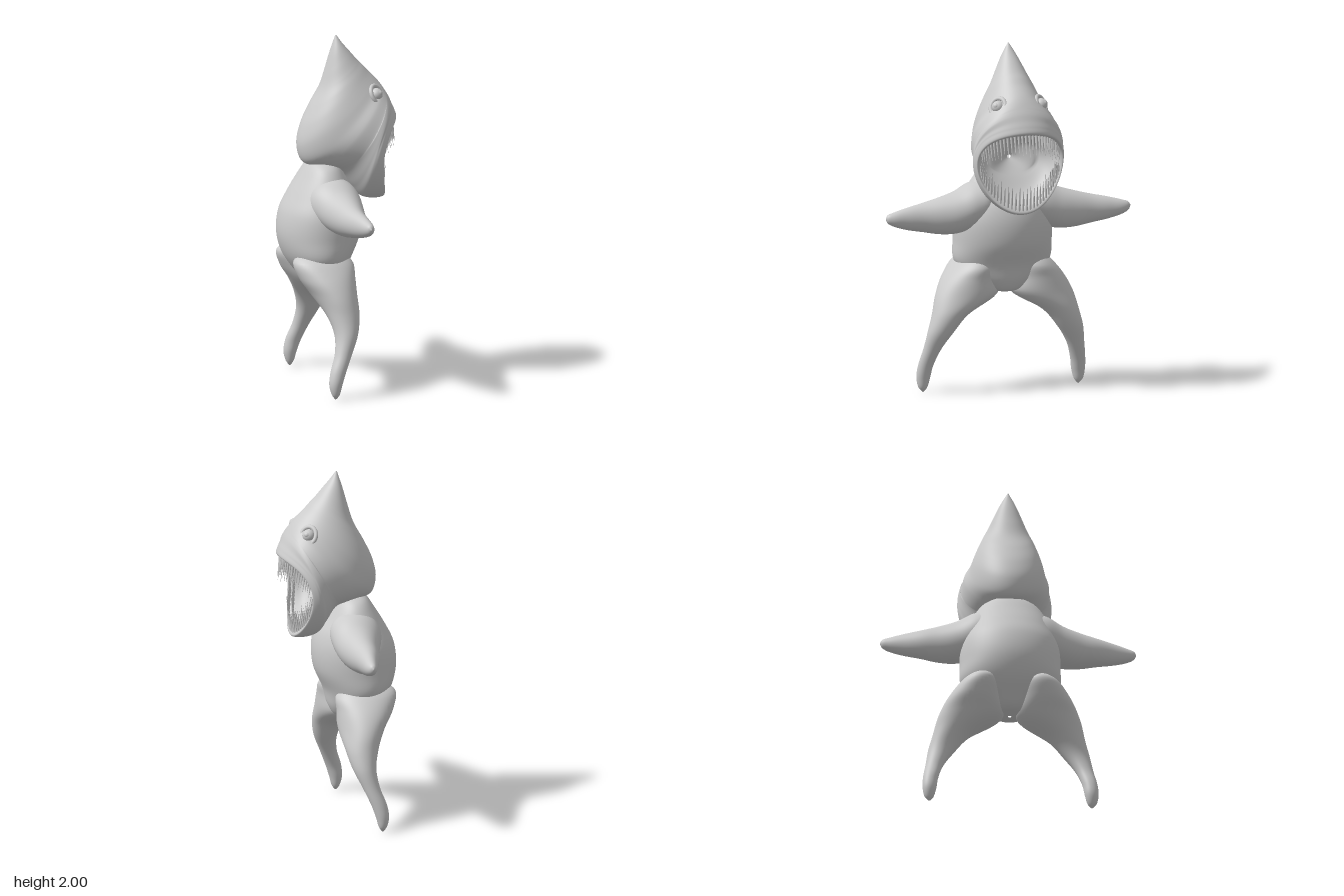
import * as THREE from 'three';

const material = new THREE.MeshStandardMaterial({ color: 0xcccccc });

// Smooth section surface. Each row: [ax, ay, bx, by, halfWidth, zCentre, dx, dy]
// a and b are opposite edge points of an oval ring; (dx, dy) shifts its widest points.
function sections(rows) {
  const curve = pick => new THREE.CatmullRomCurve3(rows.map(r => new THREE.Vector3(...pick(r))));
  const a = curve(r => [r[0], r[1], r[4]]);
  const b = curve(r => [r[2], r[3], r[5] || 0]);
  const d = curve(r => [r[6] || 0, r[7] || 0, 0]);
  return (t, angle) => {
    const p = a.getPoint(t), q = b.getPoint(t), s = d.getPoint(t);
    const c = Math.cos(angle), n = Math.sin(angle);
    return new THREE.Vector3(
      (p.x + q.x) / 2 + (p.x - q.x) / 2 * c + s.x * n * n,
      (p.y + q.y) / 2 + (p.y - q.y) / 2 * c + s.y * n * n,
      q.z + Math.max(p.z, 0.0005) * n);
  };
}

function loft(surface, steps, sides = 48) {
  const position = [], index = [];
  for (let i = 0; i <= steps; i++) {
    for (let j = 0; j < sides; j++) {
      position.push(...surface(i / steps, j / sides * Math.PI * 2).toArray());
      if (i === steps) continue;
      const k = (j + 1) % sides, p = i * sides, q = p + sides;
      index.push(p + j, q + j, p + k, p + k, q + j, q + k);
    }
  }
  const geometry = new THREE.BufferGeometry();
  geometry.setAttribute('position', new THREE.Float32BufferAttribute(position, 3));
  geometry.setIndex(index);
  geometry.computeVertexNormals();
  return geometry;
}

function add(parent, name, geometry) {
  const mesh = new THREE.Mesh(geometry, material);
  mesh.name = name;
  parent.add(mesh);
  return mesh;
}

const torsoRows = [
  [-0.09, 0.57, -0.11, 0.57, 0.01],
  [-0.01, 0.575, -0.19, 0.585, 0.09],
  [0.03, 0.63, -0.25, 0.65, 0.18],
  [0.055, 0.73, -0.318, 0.75, 0.278],
  [0.108, 0.85, -0.352, 0.87, 0.285],
  [0.12, 0.97, -0.338, 1.0, 0.28],
  [0.1, 1.07, -0.29, 1.1, 0.25],
  [0.05, 1.16, -0.235, 1.19, 0.21],
  [0, 1.25, -0.19, 1.26, 0.15],
  [-0.05, 1.31, -0.15, 1.31, 0.03],
];

// Mouth cavity first, then over the lip and around the skull to the pointed crown
const headRows = [
  [0, 1.36, 0, 1.34, 0.01],
  [0.04, 1.45, 0.06, 1.25, 0.15],
  [0.15, 1.5, 0.14, 1.14, 0.215, 0, -0.03, 0.03],
  [0.295, 1.515, 0.24, 1.09, 0.238, 0, -0.085, 0.05],
  [0.327, 1.53, 0.255, 1.06, 0.255, 0, -0.09, 0.055],
  [0.318, 1.565, 0.19, 1.05, 0.267, 0, -0.08, 0.055],
  [0.302, 1.6, 0.12, 1.07, 0.267, 0, -0.05, 0.04],
  [0.287, 1.635, 0.07, 1.13, 0.265, 0, -0.02, 0.02],
  [0.27, 1.665, 0, 1.22, 0.255],
  [0.248, 1.7, -0.12, 1.25, 0.24],
  [0.225, 1.73, -0.21, 1.28, 0.215],
  [0.2, 1.757, -0.24, 1.37, 0.195],
  [0.17, 1.787, -0.22, 1.48, 0.17],
  [0.14, 1.82, -0.17, 1.59, 0.142],
  [0.11, 1.85, -0.11, 1.7, 0.112],
  [0.063, 1.905, -0.078, 1.8, 0.077],
  [0.02, 1.955, -0.05, 1.9, 0.042],
  [-0.012, 2, -0.018, 2, 0.002],
];

const legRows = [
  [-0.145, 0, -0.155, 0, 0.004, 0.462],
  [-0.128, 0.025, -0.172, 0.025, 0.025, 0.463],
  [-0.112, 0.08, -0.186, 0.08, 0.039, 0.461],
  [-0.088, 0.15, -0.177, 0.15, 0.043, 0.453],
  [-0.045, 0.25, -0.143, 0.25, 0.051, 0.426],
  [0, 0.35, -0.132, 0.35, 0.075, 0.385],
  [0.025, 0.45, -0.16, 0.45, 0.105, 0.328],
  [0.036, 0.56, -0.225, 0.56, 0.18, 0.222],
  [0.036, 0.65, -0.285, 0.65, 0.16, 0.195],
  [0.035, 0.72, -0.31, 0.74, 0.122, 0.168],
  [-0.04, 0.8, -0.22, 0.8, 0.05, 0.15],
];

// Arm runs along local x and is turned sideways afterwards
const armRows = [
  [0.08, 1.04, 0.08, 1.12, 0.03, 0.08],
  [0.13, 0.98, 0.11, 1.2, 0.135, 0.08],
  [0.2, 0.94, 0.2, 1.2, 0.145, 0.075],
  [0.3, 0.915, 0.3, 1.155, 0.122, 0.06],
  [0.4, 0.917, 0.4, 1.125, 0.095, 0.052],
  [0.5, 0.935, 0.5, 1.1, 0.072, 0.047],
  [0.6, 0.955, 0.6, 1.08, 0.05, 0.032],
  [0.68, 0.98, 0.68, 1.06, 0.033, 0.02],
  [0.715, 1.0, 0.715, 1.048, 0.019, 0.018],
  [0.728, 1.024, 0.728, 1.03, 0.002, 0.018],
];

export function createModel() {
  const model = new THREE.Group();
  model.name = 'creature';
  add(model, 'torso', loft(sections(torsoRows), 54));
  const headSurface = sections(headRows);
  add(model, 'head', loft(headSurface, 136, 72));

  // Needle teeth in two staggered rows along each jaw
  const up = new THREE.Vector3(0, 1, 0);
  const lipT = 3 / (headRows.length - 1);
  for (const jaw of ['upper', 'lower']) {
    const teeth = new THREE.Group();
    teeth.name = jaw + 'Teeth';
    model.add(teeth);
    const isUpper = jaw === 'upper';
    for (let row = 0; row < 2; row++) {
      const count = 29 - row;
      for (let i = 0; i < count; i++) {
        const angle = (i / (count - 1) - 0.5) * (isUpper ? 2.5 : 2.6);
        const root = headSurface(lipT + (row ? -0.015 : 0.012), angle + (isUpper ? 0 : Math.PI));
        const length = (0.07 + 0.085 * Math.cos(angle)) * (0.88 + 0.12 * Math.cos(i * 2.4)) * (row ? 0.8 : 1);
        const direction = new THREE.Vector3(0.12, isUpper ? -1 : 1, -root.z * 0.25).normalize();
        const cone = new THREE.ConeGeometry(0.0075, length, 7);
        cone.translate(0, length / 2 - 0.008, 0);
        const tooth = add(teeth, 'tooth', cone);
        tooth.position.copy(root);
        tooth.quaternion.setFromUnitVectors(up, direction);
      }
    }
  }

  // Mirrored limbs and eyes
  for (const side of [-1, 1]) {
    const half = new THREE.Group();
    const label = side < 0 ? 'left' : 'right';
    half.name = label + 'Side';
    half.scale.z = side;
    model.add(half);
    add(half, label + 'Leg', loft(sections(legRows), 60));
    add(half, label + 'Arm', loft(sections(armRows), 54).rotateY(-Math.PI / 2));

    const eye = new THREE.Group();
    eye.name = label + 'Eye';
    eye.position.set(0.187, 1.67, 0.128);
    eye.lookAt(0.187 + 0.6, 1.67 + 0.42, 0.128 + 0.68);
    half.add(eye);
    add(eye, 'eyeball', new THREE.SphereGeometry(0.036, 24, 16));
    const lid = add(eye, 'eyelid', new THREE.TorusGeometry(0.046, 0.012, 12, 32));
    lid.scale.y = 1.1;
    add(eye, 'pupil', new THREE.SphereGeometry(0.018, 16, 12)).position.z = 0.022;
  }
  return model;
}
